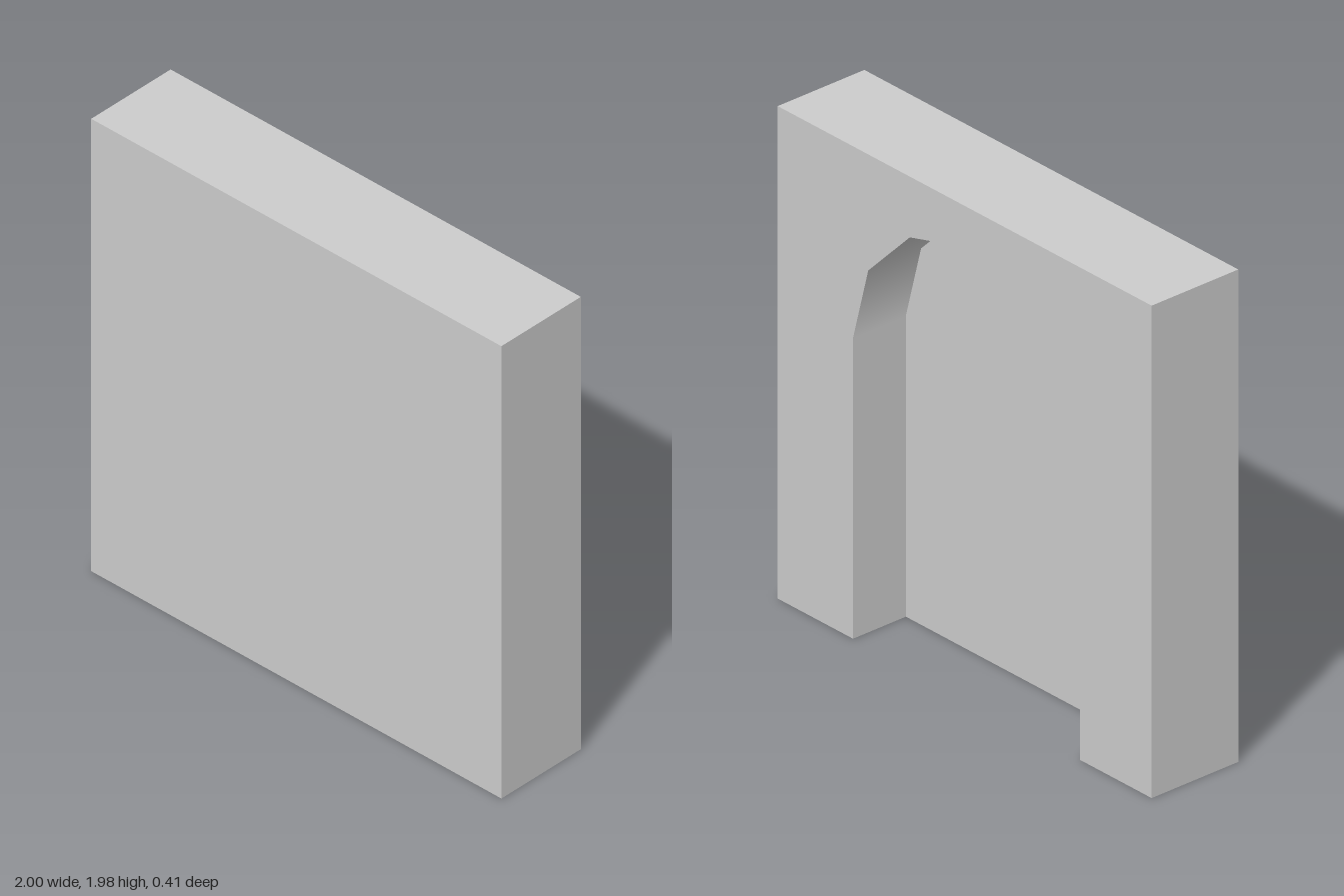
import * as THREE from 'three';

const W = 2, H = 1.98, D = 0.41;              // wall size
const CX = -0.01, R = 0.607, SPRING = 1.21;   // arch centre, radius, spring height
const NICHE = 0.25, SEG = 6;                  // niche depth, arch segments

// Arch outline from the +x foot over the top to the -x foot, with inward normals
function archOutline() {
  const pts = [{ x: CX + R, y: 0, nx: -1, ny: 0 }];
  for (let i = 0; i <= SEG; i++) {
    const a = (Math.PI * i) / SEG, c = Math.cos(a), s = Math.sin(a);
    pts.push({ x: CX + R * c, y: SPRING + R * s, nx: -c, ny: -s });
  }
  pts.push({ x: CX - R, y: 0, nx: 1, ny: 0 });
  return pts;
}

// Jambs and arch underside as one smooth strip
function revealGeometry(outline, z0, z1) {
  const pos = [], nor = [], idx = [];
  outline.forEach((p, i) => {
    pos.push(p.x, p.y, z0, p.x, p.y, z1);
    nor.push(p.nx, p.ny, 0, p.nx, p.ny, 0);
    if (i < outline.length - 1) {
      const a = i * 2;
      idx.push(a, a + 1, a + 2, a + 1, a + 3, a + 2);
    }
  });
  const g = new THREE.BufferGeometry();
  g.setAttribute('position', new THREE.Float32BufferAttribute(pos, 3));
  g.setAttribute('normal', new THREE.Float32BufferAttribute(nor, 3));
  g.setIndex(idx);
  return g;
}

export function createModel() {
  const group = new THREE.Group();
  group.name = 'archedNicheWall';
  const material = new THREE.MeshStandardMaterial({ color: 0xcccccc, side: THREE.DoubleSide });
  const add = (name, geometry, x = 0, y = 0, z = 0) => {
    const mesh = new THREE.Mesh(geometry, material);
    mesh.name = name;
    mesh.position.set(x, y, z);
    group.add(mesh);
  };
  const outline = archOutline();

  // Outer shell, open underneath
  add('frontPanel', new THREE.PlaneGeometry(W, H), 0, H / 2, D / 2);
  add('topPanel', new THREE.PlaneGeometry(W, D).rotateX(-Math.PI / 2), 0, H, 0);
  for (const [name, s] of [['leftSide', 1], ['rightSide', -1]]) {
    add(name, new THREE.PlaneGeometry(D, H).rotateY((s * Math.PI) / 2), (s * W) / 2, H / 2, 0);
  }

  // Back panel cut by the arch; x is flipped because the shape is turned to face back
  const flipped = outline.map((p) => new THREE.Vector2(-p.x, p.y));
  const back = new THREE.Shape([
    new THREE.Vector2(-W / 2, 0),
    ...flipped,
    new THREE.Vector2(W / 2, 0),
    new THREE.Vector2(W / 2, H),
    new THREE.Vector2(-W / 2, H),
  ]);
  add('backPanel', new THREE.ShapeGeometry(back).rotateY(Math.PI), 0, 0, -D / 2);

  // Niche
  const zDeep = -D / 2 + NICHE;
  add('nicheReveal', revealGeometry(outline, -D / 2, zDeep));
  add('nicheBack', new THREE.ShapeGeometry(new THREE.Shape(flipped)).rotateY(Math.PI), 0, 0, zDeep);

  return group;
}
